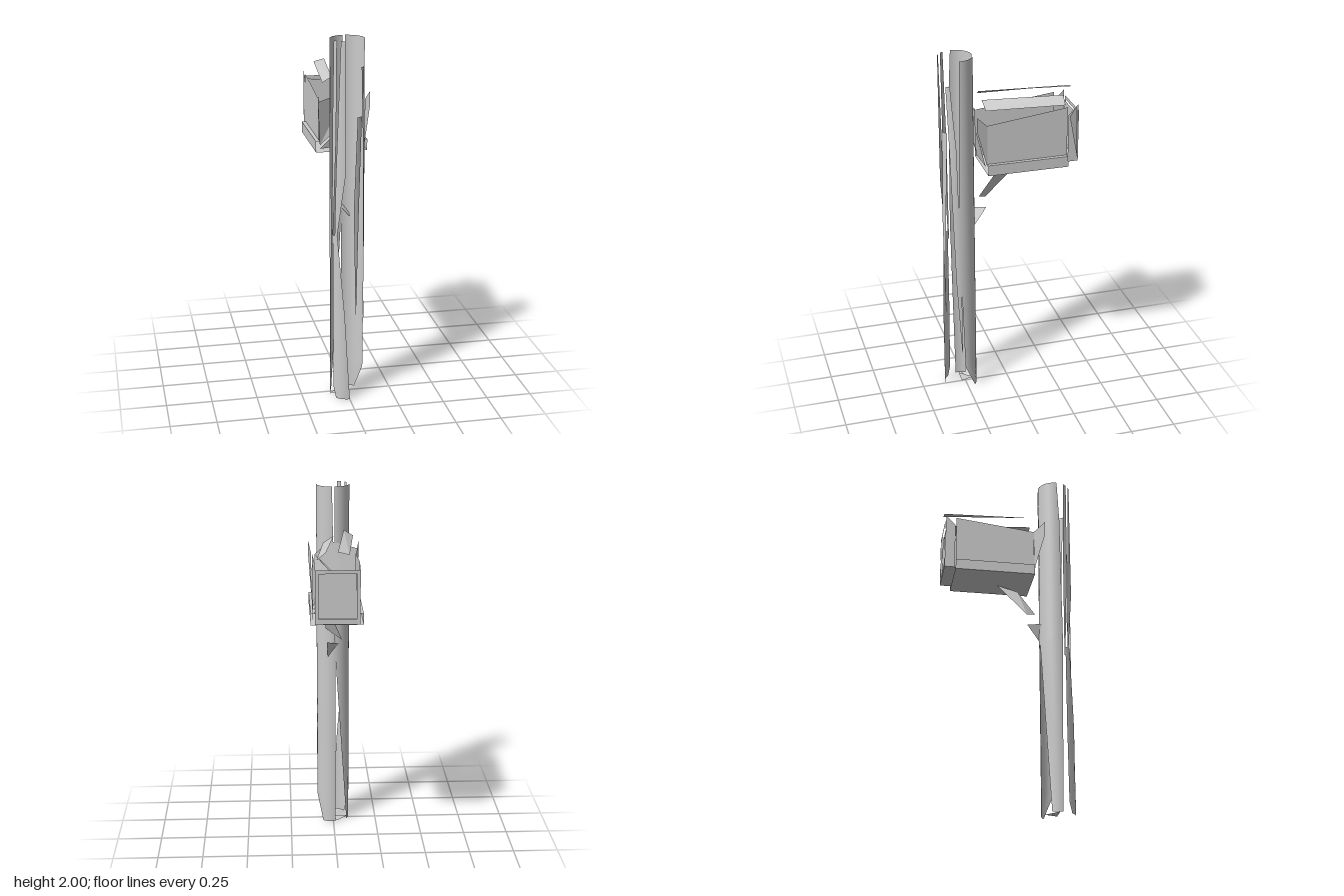
import * as THREE from 'three';

const mat = new THREE.MeshStandardMaterial({ color: 0xcccccc, side: THREE.DoubleSide });
const flat = new THREE.MeshStandardMaterial({ color: 0xcccccc, side: THREE.DoubleSide, flatShading: true });

// Thin sheet from three or four corners
function sheet(name, ...corners) {
  const g = new THREE.BufferGeometry();
  g.setAttribute('position', new THREE.Float32BufferAttribute(corners.flat(), 3));
  g.setIndex(corners.length === 4 ? [0, 1, 2, 0, 2, 3] : [0, 1, 2]);
  g.computeVertexNormals();
  const m = new THREE.Mesh(g, flat);
  m.name = name;
  return m;
}

// Curved shard of the hollow post; rows are [height, start angle, end angle],
// with angles in degrees from the front towards +x
function shard(name, rows) {
  const n = 12, R = 0.092, pos = [], nor = [], idx = [];
  for (const [y, a, b] of rows) {
    for (let i = 0; i <= n; i++) {
      const t = THREE.MathUtils.degToRad(a + (b - a) * i / n);
      pos.push(R * Math.sin(t), y, 0.278 + R * Math.cos(t));
      nor.push(Math.sin(t), 0, Math.cos(t));
    }
  }
  for (let j = 0; j < rows.length - 1; j++) {
    for (let i = 0; i < n; i++) {
      const p = j * (n + 1) + i, q = p + n + 1;
      idx.push(p, p + 1, q, q, p + 1, q + 1);
    }
  }
  const g = new THREE.BufferGeometry();
  g.setAttribute('position', new THREE.Float32BufferAttribute(pos, 3));
  g.setAttribute('normal', new THREE.Float32BufferAttribute(nor, 3));
  g.setIndex(idx);
  const m = new THREE.Mesh(g, mat);
  m.name = name;
  return m;
}

function group(name, ...parts) {
  const g = new THREE.Group();
  g.name = name;
  g.add(...parts);
  return g;
}

export function createModel() {
  // Splintered hollow post
  const post = group('post',
    shard('postRightBack', [[0, 140, 188], [0.15, 95, 188], [1, 80, 188], [2, 90, 175]]),
    shard('postLeftBack', [[0, 238, 275], [1, 188, 285], [1.75, 184, 280], [2, 184, 272]]),
    shard('postFrontLower', [[0, -50, 0], [0.06, -62, -2], [0.5, -65, -18], [0.95, -65, -45]]),
    shard('postFrontUpper', [[0.85, -58, -56], [1.3, -50, -15], [2, -32, -18]]),
    shard('postRightSplinter', [[0.25, 84, 86], [0.7, 68, 86], [1.5, 52, 76], [1.86, 42, 58]]),
    shard('postFrontSplinter', [[0.5, 20, 22], [1.1, 12, 32], [1.6, 25, 45]]),
    shard('postLeftSplinter', [[0.9, -70, -66], [1.5, -68, -50], [2, -60, -47]]),
    sheet('postFoot', [-0.09, 0, 0.27], [0, 0, 0.27], [-0.02, 0, 0.2]));

  // Box body: wide base tray with the walls standing inside its edge
  const box = group('box',
    sheet('base', [-0.14, 1.36, 0.14], [-0.14, 1.36, -0.308], [0.14, 1.36, -0.308], [0.14, 1.36, 0.14]),
    sheet('rearFloor', [-0.118, 1.38, -0.3], [-0.118, 1.38, -0.368], [0.118, 1.38, -0.368], [0.118, 1.38, -0.3]));
  for (const s of [-1, 1]) {
    box.add(
      sheet('baseEdge', [s * 0.14, 1.36, 0.14], [s * 0.14, 1.42, 0.14], [s * 0.14, 1.42, -0.305], [s * 0.14, 1.36, -0.308]),
      sheet('baseLedge', [s * 0.118, 1.42, 0.14], [s * 0.14, 1.42, 0.14], [s * 0.14, 1.42, -0.305], [s * 0.118, 1.42, -0.305]),
      sheet('sideWall', [s * 0.12, 1.42, 0.14], [s * 0.12, 1.64, 0.14], [s * 0.118, 1.695, -0.305], [s * 0.118, 1.42, -0.305]),
      sheet('sideFlare', [s * 0.125, 1.4, 0.14], [s * 0.125, 1.64, 0.14], [s * 0.14, 1.7, 0.2], [s * 0.14, 1.62, 0.2]),
      sheet('backSide', [s * 0.118, 1.38, -0.31], [s * 0.118, 1.65, -0.31], [s * 0.118, 1.705, -0.363], [s * 0.118, 1.38, -0.368]));
  }

  // Leaning front panel
  box.add(
    sheet('frontPanel', [-0.12, 1.4, 0.14], [0.105, 1.62, 0.2], [0.02, 1.7, 0.18], [-0.14, 1.65, 0.2]),
    sheet('frontPanelLower', [-0.12, 1.38, 0.14], [0.105, 1.4, 0.145], [0.105, 1.62, 0.2]));

  // Rear frame and inset panel
  const frame = new THREE.Shape([[-0.118, 1.38], [0.118, 1.38], [0.118, 1.67], [-0.118, 1.67]].map(p => new THREE.Vector2(...p)));
  frame.holes.push(new THREE.Path([[-0.1, 1.41], [-0.1, 1.65], [0.1, 1.65], [0.1, 1.41]].map(p => new THREE.Vector2(...p))));
  const rim = new THREE.Mesh(new THREE.ShapeGeometry(frame), flat);
  rim.name = 'backFrame';
  rim.position.z = -0.368;
  box.add(rim,
    sheet('backPanel', [-0.1, 1.41, -0.358], [-0.1, 1.65, -0.358], [0.1, 1.65, -0.358], [0.1, 1.41, -0.358]),
    sheet('backSplinter', [0.127, 1.7, -0.35], [0.14, 1.65, -0.31], [0.13, 1.4, -0.36]));

  // Two remaining roof slats
  const roof = group('roof',
    sheet('roofSlat', [-0.06, 1.75, -0.368], [0, 1.765, -0.368], [-0.055, 1.77, 0.14], [-0.105, 1.74, 0.135]),
    sheet('roofSlat', [0.06, 1.745, -0.298], [0.108, 1.705, -0.295], [0.06, 1.7, 0.13], [0, 1.74, 0.137]));

  // Broken brace between box and post
  const brace = group('brace',
    sheet('braceUpper', [0.03, 1.36, -0.05], [0.045, 1.335, 0.07], [-0.045, 1.15, 0.11]),
    sheet('braceSide', [0.045, 1.335, 0.07], [0.045, 1.2, 0.17], [-0.045, 1.15, 0.11]),
    sheet('braceLower', [0.04, 1.13, 0.125], [-0.045, 1.1, 0.2], [0.03, 1.01, 0.2]));

  const model = new THREE.Group();
  model.name = 'postMountedBox';
  model.add(post, box, roof, brace);
  return model;
}
